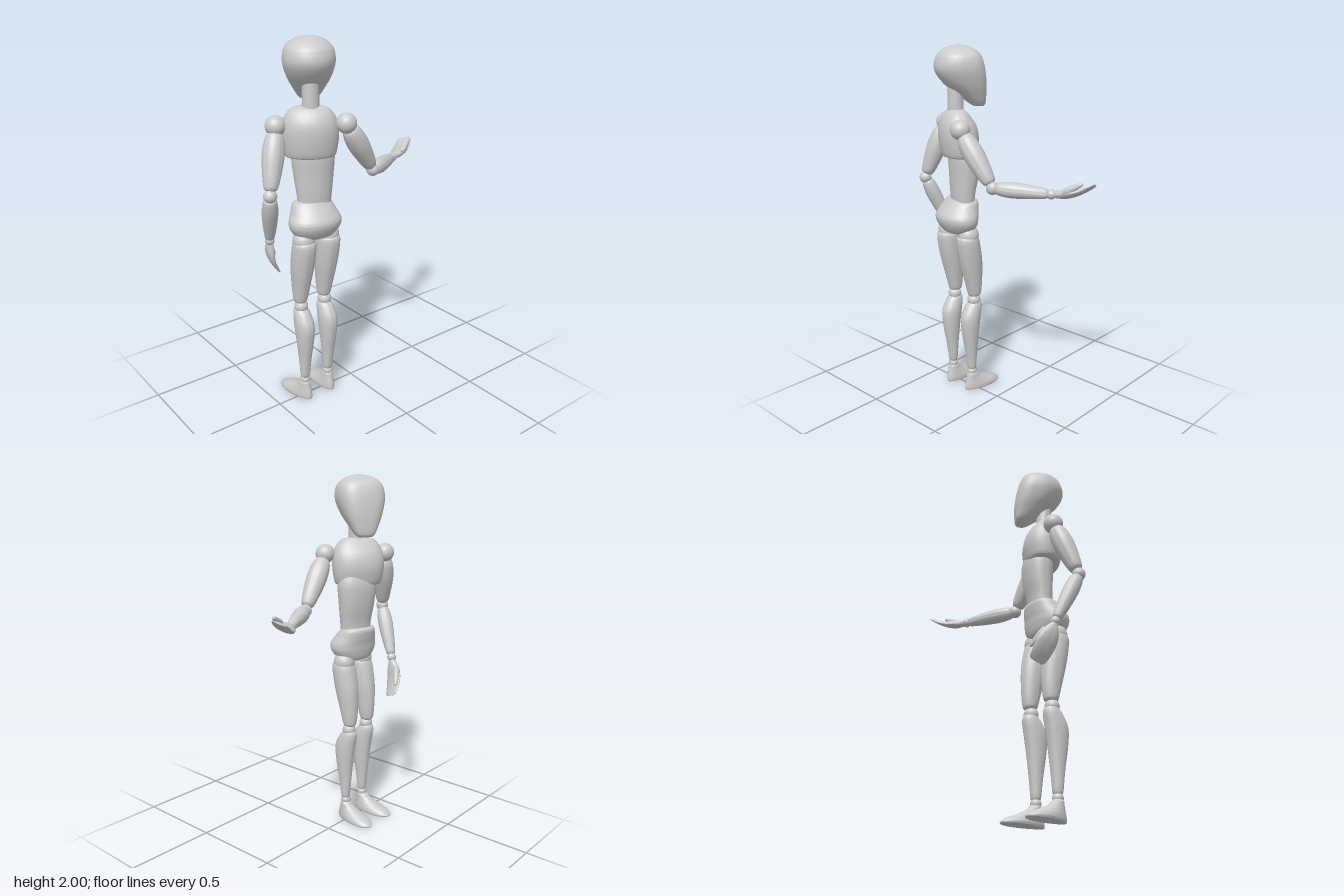
import * as THREE from 'three';
import { toCreasedNormals } from 'three/addons/utils/BufferGeometryUtils.js';

const material = new THREE.MeshStandardMaterial({ color: 0xcccccc });
const V = (x, y, z) => new THREE.Vector3(x, y, z);

// Smooth body through cross-sections [y, halfWidth, zFront, zBack], listed upwards.
// frontPower below 1 squares off the front half of each section.
function loft(sections, frontPower = 1, steps = 6, sides = 40) {
  const outline = new THREE.SplineCurve(sections.map(s => new THREE.Vector2(s[0], s[1])));
  const depth = new THREE.SplineCurve(sections.map(s => new THREE.Vector2(s[2], s[3])));
  const rows = (sections.length - 1) * steps;
  const pos = [], index = [];
  const pow = (v, e) => Math.sign(v) * Math.abs(v) ** e;
  for (let i = 0; i <= rows; i++) {
    const o = outline.getPoint(i / rows), d = depth.getPoint(i / rows);
    for (let j = 0; j < sides; j++) {
      const u = j / sides * Math.PI * 2, c = Math.cos(u), s = Math.sin(u);
      const e = s < 0 ? frontPower : 1;
      pos.push(Math.max(o.x === 0 ? 0 : o.y, 0.0005) * pow(c, e) || o.y * pow(c, e), o.x,
        (d.x + d.y) / 2 + (d.y - d.x) / 2 * pow(s, e));
    }
  }
  const first = sections[0], last = sections[sections.length - 1];
  const bottom = pos.length / 3, top = bottom + 1;
  pos.push(0, first[0], (first[2] + first[3]) / 2, 0, last[0], (last[2] + last[3]) / 2);
  for (let j = 0; j < sides; j++) {
    const k = (j + 1) % sides, r = rows * sides;
    for (let i = 0; i < rows; i++) {
      const a = i * sides + j, b = i * sides + k;
      index.push(a, a + sides, b, b, a + sides, b + sides);
    }
    index.push(bottom, j, k, top, r + k, r + j);
  }
  const g = new THREE.BufferGeometry();
  g.setAttribute('position', new THREE.Float32BufferAttribute(pos, 3));
  g.setIndex(index);
  return g;
}

function add(parent, name, geometry, x = 0, y = 0, z = 0, yaw = 0) {
  const m = new THREE.Mesh(geometry.index && !geometry.parameters ? toCreasedNormals(geometry, 0.6) : geometry, material);
  m.name = name;
  m.position.set(x, y, z);
  m.rotation.y = yaw;
  parent.add(m);
  return m;
}

const ball = (parent, name, p, r) => add(parent, name, new THREE.SphereGeometry(r, 32, 20), p.x, p.y, p.z);

// Turns an object so its y axis runs from a to b and its x axis follows the hint
function aim(object, a, b, hint) {
  const y = b.clone().sub(a).normalize();
  const z = hint.clone().cross(y).normalize();
  const x = y.clone().cross(z);
  object.quaternion.setFromRotationMatrix(new THREE.Matrix4().makeBasis(x, y, z));
  object.position.copy(a);
}

// Round limb between two joints; profile holds [fraction of length, radius]
function limb(parent, name, a, b, profile, hint = V(0.3, 0.2, 0.9)) {
  const len = a.distanceTo(b);
  const m = add(parent, name, loft(profile.map(([t, r]) => [t * len, r, -r, r])));
  aim(m, a, b, hint);
}

const UPPER_ARM = [[0.1, 0.025], [0.13, 0.04], [0.25, 0.052], [0.45, 0.056], [0.7, 0.047], [0.88, 0.036], [0.93, 0.022]];
const FOREARM = [[0.06, 0.022], [0.1, 0.034], [0.3, 0.042], [0.55, 0.039], [0.8, 0.031], [0.92, 0.025], [0.95, 0.016]];
const THUMB = [[0, 0.014], [0.3, 0.018], [0.7, 0.014], [0.95, 0.008], [1, 0.002]];

// Arm from joint positions; the palm faces the hand's local -z
function arm(parent, side, shoulder, elbow, wrist, tip, across, thumbSide) {
  const g = new THREE.Group();
  g.name = side + 'Arm';
  ball(g, 'shoulderJoint', shoulder, 0.053);
  limb(g, 'upperArm', shoulder, elbow, UPPER_ARM);
  ball(g, 'elbowJoint', elbow, 0.035);
  limb(g, 'forearm', elbow, wrist, FOREARM);
  ball(g, 'wristJoint', wrist, 0.026);
  const hand = new THREE.Group();
  hand.name = 'hand';
  add(hand, 'palmAndFingers', loft([
    [0.012, 0.016, -0.014, 0.018], [0.03, 0.026, -0.016, 0.024], [0.075, 0.047, -0.014, 0.03],
    [0.125, 0.054, -0.01, 0.024], [0.175, 0.052, -0.016, 0.008], [0.212, 0.046, -0.026, -0.01],
    [0.228, 0.036, -0.029, -0.019],
  ]));
  limb(hand, 'thumb', V(thumbSide * 0.034, 0.06, 0.003), V(thumbSide * 0.056, 0.175, -0.032), THUMB);
  aim(hand, wrist, tip, across);
  g.add(hand);
  parent.add(g);
}

// Leg facing -z; s is +1 for the +x side
function leg(parent, side, s) {
  const g = new THREE.Group();
  g.name = side + 'Leg';
  g.position.x = -0.262 + s * 0.078;
  ball(g, 'hipJoint', V(0, 0.965, 0.04), 0.06);
  add(g, 'thigh', loft([
    [0.59, 0.026, -0.035, 0.025], [0.605, 0.037, -0.045, 0.034], [0.68, 0.047, -0.052, 0.055],
    [0.8, 0.059, -0.05, 0.088], [0.9, 0.063, -0.033, 0.107], [0.95, 0.06, -0.018, 0.108],
    [0.965, 0.045, 0, 0.09],
  ]));
  ball(g, 'kneeJoint', V(0, 0.565, 0), 0.038);
  add(g, 'calf', loft([
    [0.13, 0.018, 0.004, 0.04], [0.145, 0.026, -0.003, 0.049], [0.25, 0.034, -0.012, 0.064],
    [0.37, 0.046, -0.024, 0.085], [0.46, 0.051, -0.038, 0.09], [0.52, 0.045, -0.048, 0.062],
    [0.55, 0.036, -0.044, 0.036], [0.56, 0.02, -0.028, 0.02],
  ]));
  ball(g, 'ankleJoint', V(0, 0.115, 0.022), 0.028);
  // Foot: heel narrower than the toes
  const foot = loft([
    [0, 0.049, -0.178, 0.068], [0.01, 0.052, -0.18, 0.071], [0.03, 0.05, -0.15, 0.069],
    [0.052, 0.043, -0.095, 0.064], [0.078, 0.036, -0.04, 0.057], [0.1, 0.032, -0.012, 0.051],
    [0.11, 0.02, 0, 0.04],
  ]);
  const p = foot.attributes.position;
  for (let i = 0; i < p.count; i++) p.setX(i, p.getX(i) * (0.93 - p.getZ(i) * 1.6));
  add(g, 'foot', foot, s * 0.002, 0, 0, -s * 0.07);
  parent.add(g);
}

export function createModel() {
  const model = new THREE.Group();
  model.name = 'poseableMannequin';

  // Head with a flattened face, turned along with the chest
  add(model, 'head', loft([
    [1.675, 0.035, -0.128, -0.075], [1.69, 0.055, -0.138, -0.05], [1.74, 0.083, -0.141, 0.015],
    [1.8, 0.111, -0.14, 0.09], [1.87, 0.13, -0.132, 0.135], [1.93, 0.125, -0.117, 0.128],
    [1.965, 0.1, -0.095, 0.102], [1.99, 0.055, -0.05, 0.06], [2, 0.004, -0.004, 0.006],
  ], 0.65), -0.265, 0, 0.01, -0.56);
  add(model, 'neck', new THREE.CylinderGeometry(0.042, 0.044, 0.2, 32), -0.275, 1.72, 0.033);

  // Torso
  add(model, 'chest', loft([
    [1.405, 0.118, -0.082, 0.075], [1.42, 0.133, -0.098, 0.09], [1.5, 0.146, -0.112, 0.104],
    [1.57, 0.142, -0.1, 0.103], [1.62, 0.122, -0.07, 0.085], [1.65, 0.094, -0.045, 0.06],
    [1.662, 0.06, -0.03, 0.04],
  ], 0.85), -0.275, 0, 0.022, -0.56);
  add(model, 'abdomen', loft([
    [1.12, 0.085, -0.055, 0.055], [1.2, 0.093, -0.062, 0.062], [1.3, 0.105, -0.082, 0.066],
    [1.4, 0.113, -0.09, 0.07], [1.46, 0.1, -0.08, 0.06],
  ], 0.85), -0.25, 0, 0.015, -0.35);
  add(model, 'pelvis', loft([
    [0.972, 0.085, -0.055, 0.05], [0.985, 0.108, -0.078, 0.075], [1.03, 0.14, -0.09, 0.102],
    [1.07, 0.143, -0.095, 0.107], [1.11, 0.125, -0.103, 0.082], [1.15, 0.108, -0.107, 0.048],
    [1.165, 0.09, -0.09, 0.035],
  ], 0.9), -0.267, 0, 0.04, -0.15);

  // Outstretched arm with the palm up, and a hanging arm
  arm(model, 'left', V(-0.135, 1.575, 0.14), V(0.065, 1.29, 0.108), V(0.333, 1.275, -0.043),
    V(0.53, 1.31, -0.15), V(-0.42, -0.31, -0.86), -1);
  arm(model, 'right', V(-0.435, 1.57, -0.045), V(-0.53, 1.245, 0.035), V(-0.47, 0.957, -0.085),
    V(-0.412, 0.745, -0.15), V(0.2, 0.2, -0.95), 1);

  leg(model, 'left', 1);
  leg(model, 'right', -1);
  return model;
}
